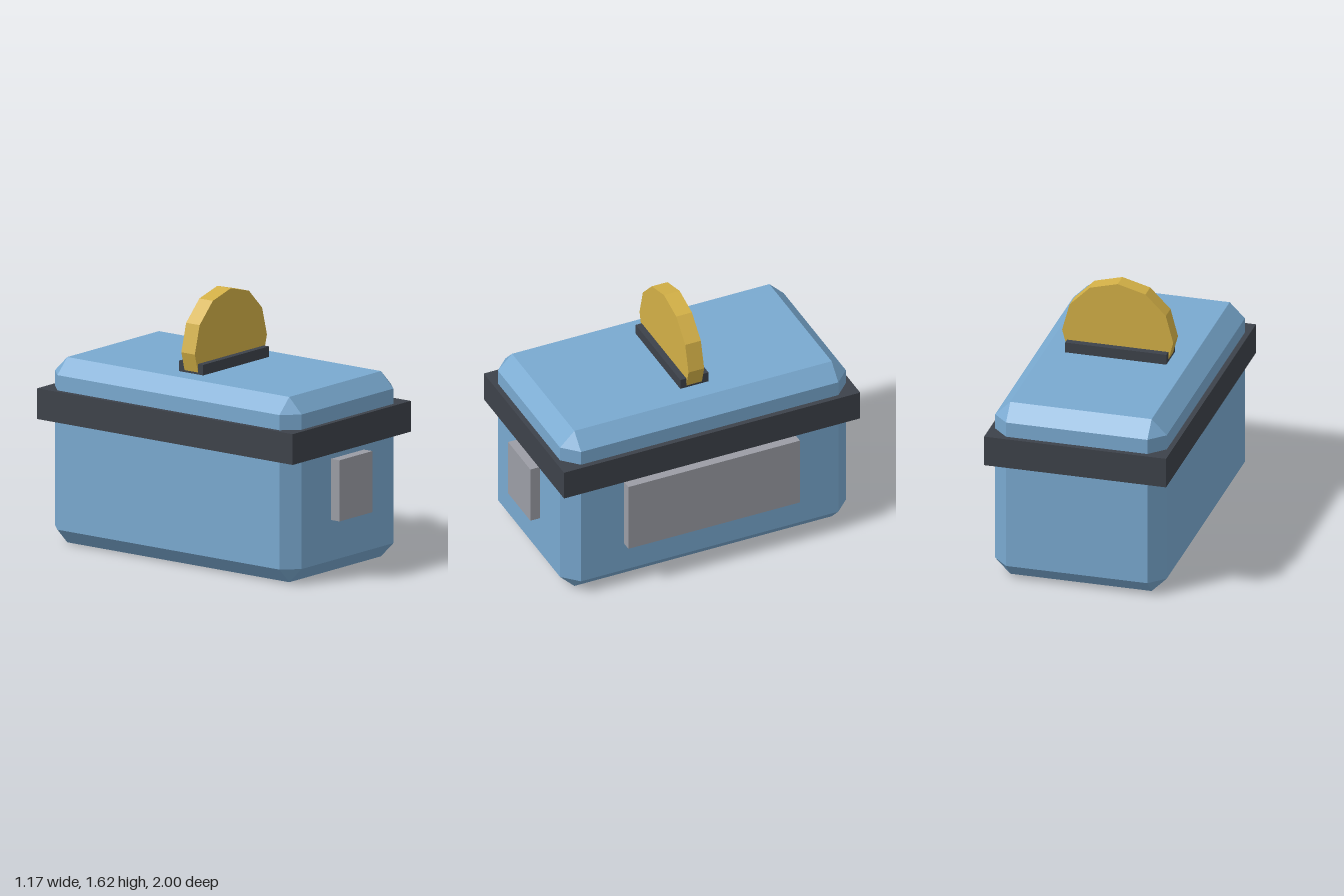
import * as THREE from 'three';
import { ConvexGeometry } from 'three/addons/geometries/ConvexGeometry.js';

function material(name, color) {
  const m = new THREE.MeshStandardMaterial({ color });
  m.name = name;
  return m;
}

// Box with every edge cut at 45 degrees and triangular corners
function chamferedBox(w, h, d, c) {
  const points = [];
  for (const x of [-1, 1]) for (const y of [-1, 1]) for (const z of [-1, 1]) {
    for (let axis = 0; axis < 3; axis++) {
      const p = [w / 2 - c, h / 2 - c, d / 2 - c];
      p[axis] += c;
      points.push(new THREE.Vector3(x * p[0], y * p[1], z * p[2]));
    }
  }
  return new ConvexGeometry(points);
}

export function createModel() {
  const group = new THREE.Group();
  const blue = material('blue', 0x79a9d0);
  const charcoal = material('charcoal', 0x3d424a);
  const grey = material('grey', 0x9b9da5);
  const gold = material('gold', 0xd2af46);

  const add = (name, geometry, mat, x, y, z) => {
    const mesh = new THREE.Mesh(geometry, mat);
    mesh.name = name;
    mesh.position.set(x, y, z);
    group.add(mesh);
  };
  const addBox = (name, mat, [x0, x1], [y0, y1], [z0, z1]) =>
    add(name, new THREE.BoxGeometry(x1 - x0, y1 - y0, z1 - z0), mat,
      (x0 + x1) / 2, (y0 + y1) / 2, (z0 + z1) / 2);

  const cx = -0.017, cz = -0.015;

  // Chest and the band round it
  add('body', chamferedBox(1.075, 1.145, 1.9, 0.095), blue, cx, 0.5725, cz);
  addBox('band', charcoal, [-0.587, 0.553], [0.766, 0.956], [-1, 0.968]);

  // Raised panels on the front and left side
  addBox('frontPanel', grey, [-0.175, 0.142], [0.347, 0.725], [0.9, 1]);
  addBox('sidePanel', grey, [0.49, 0.584], [0.29, 0.746], [-0.585, 0.555]);

  // Slot on the lid with a twelve-sided coin standing in it
  addBox('slot', charcoal, [-0.334, 0.3], [1.1, 1.21], [-0.11, 0.077]);
  const coin = new THREE.CylinderGeometry(0.348, 0.348, 0.104, 12).toNonIndexed();
  coin.computeVertexNormals();
  coin.rotateX(Math.PI / 2);
  add('coin', coin, gold, cx, 1.273, cz);

  return group;
}
